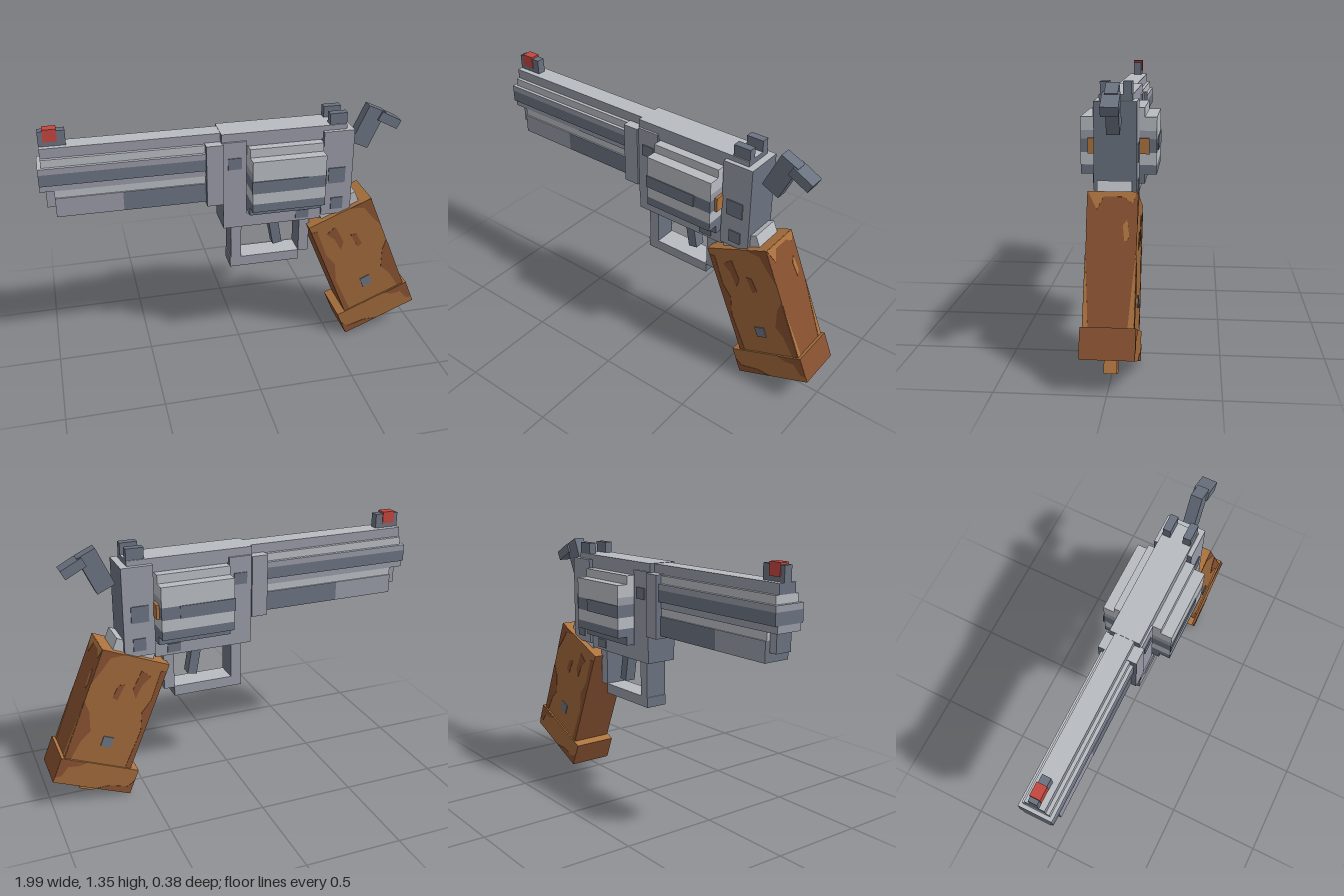
import * as THREE from 'three';

const mat = (name, color) => {
  const m = new THREE.MeshStandardMaterial({ color });
  m.name = name;
  return m;
};
const light = mat('light steel', 0xb8bcc2);
const mid = mat('mid steel', 0x9799a6);
const dark = mat('dark steel', 0x6a7280);
const red = mat('red', 0xc1463f);
const wood = mat('wood', 0x9e683a);
const woodDark = mat('dark wood', 0x865030);
const woodLight = mat('light wood', 0xad743f);

// face order: +x, -x, +y, -y, +z, -z
const steel = [dark, dark, light, dark, mid, mid];
const banded = (m) => [m, m, light, dark, m, m];
const woodFaces = [woodDark, woodDark, woodLight, woodDark, wood, wood];

export function createModel() {
  const model = new THREE.Group();
  model.name = 'revolver';

  // box from x and y ranges and a z range (one number means symmetric)
  function box(name, x0, x1, y0, y1, z, mats = steel, parent = model) {
    const [z0, z1] = Array.isArray(z) ? z : [-z, z];
    const mesh = new THREE.Mesh(new THREE.BoxGeometry(x1 - x0, y1 - y0, z1 - z0), mats);
    mesh.position.set((x0 + x1) / 2, (y0 + y1) / 2, (z0 + z1) / 2);
    mesh.name = name;
    parent.add(mesh);
    return mesh;
  }
  function tilted(name, cx, cy, w, h, z, degrees, mats = dark) {
    const mesh = box(name, cx - w / 2, cx + w / 2, cy - h / 2, cy + h / 2, z, mats);
    mesh.rotation.z = THREE.MathUtils.degToRad(degrees);
  }
  // thin plates on both sides of a part
  function sidePlates(name, x0, x1, y0, y1, z, m = dark, parent = model) {
    for (const s of [1, -1]) {
      const p = box(name, x0, x1, y0, y1, 0.003, m, parent);
      p.position.z = s * z;
    }
  }

  // barrel, stacked in bands
  box('barrelRib', -0.98, -0.1, 1.22, 1.27, 0.05);
  box('barrelTop', -0.98, -0.18, 1.18, 1.22, 0.068, banded(light));
  box('barrelUpperBand', -0.998, -0.18, 1.15, 1.18, 0.085, banded(mid));
  box('barrelSide', -0.998, -0.18, 1.09, 1.15, 0.085, banded(dark));
  box('barrelLowerBand', -0.998, -0.18, 1.055, 1.09, 0.07, banded(mid));
  box('underBarrelTop', -0.93, -0.18, 1.015, 1.055, 0.065, banded(light));
  box('underBarrelFront', -0.93, -0.6, 0.915, 1.015, 0.072, steel);
  box('underBarrelRear', -0.6, -0.18, 0.915, 1.015, 0.072, banded(dark));
  box('ejectorRodTip', -0.97, -0.93, 0.96, 1.055, 0.045);

  // sights
  box('frontSight', -0.98, -0.85, 1.27, 1.345, 0.022, dark);
  box('frontSightInsert', -0.957, -0.89, 1.292, 1.355, 0.026, red);
  for (const s of [1, -1]) {
    const z = s > 0 ? [0.033, 0.073] : [-0.073, -0.033];
    box('rearSight', 0.455, 0.545, 1.24, 1.33, z, dark);
  }

  // frame
  box('barrelCollar', -0.185, -0.1, 0.9, 1.225, 0.1);
  box('frameFront', -0.1, 0.02, 0.825, 1.23, 0.088);
  box('topStrap', -0.105, 0.545, 1.2, 1.272, 0.078);
  box('frameBottom', -0.1, 0.42, 0.755, 0.83, 0.085);
  box('frameCore', 0.02, 0.42, 0.83, 1.2, 0.05, light);
  box('frameRear', 0.42, 0.58, 0.78, 1.245, 0.1);
  sidePlates('framePlate', -0.075, -0.005, 1.085, 1.145, 0.09);
  sidePlates('framePlate', 0.45, 0.54, 0.96, 1.045, 0.102);
  sidePlates('framePlate', 0.47, 0.535, 0.81, 0.875, 0.102);
  sidePlates('framePlate', 0.285, 0.355, 0.77, 0.815, 0.087);

  // cylinder, stacked in bands
  box('cylinderTop', 0.03, 0.41, 1.155, 1.2, 0.125, banded(light));
  box('cylinderBottom', 0.03, 0.41, 0.835, 0.88, 0.125, banded(dark));
  [[0.88, 0.925, dark], [0.925, 0.985, light], [0.985, 1.05, dark], [1.05, 1.09, mid], [1.09, 1.155, light]]
    .forEach(([y0, y1, m]) =>
      box('cylinderBand', 0.03, 0.41, y0, y1, 0.183, [m, m, light, dark, m === mid ? light : m, m === mid ? light : m]));
  sidePlates('cylinderPanel', 0.025, 0.315, 0.985, 1.05, 0.185);
  box('cartridgeRims', 0.405, 0.425, 0.98, 1.055, 0.147, woodLight);

  // hammer
  tilted('hammer', 0.68, 1.222, 0.1, 0.21, 0.03, -25);
  tilted('hammerSpur', 0.79, 1.252, 0.12, 0.05, 0.04, -28);

  // trigger and guard
  tilted('trigger', 0.192, 0.68, 0.05, 0.16, 0.03, 10);
  box('guardFront', -0.055, 0.0, 0.555, 0.76, 0.06);
  box('guardBottom', -0.06, 0.315, 0.505, 0.56, 0.06);
  box('guardRear', 0.315, 0.37, 0.555, 0.76, 0.06);

  // grip, built upright and leaned back
  const grip = new THREE.Group();
  grip.name = 'grip';
  grip.position.set(0.64, 0.502, 0);
  grip.rotation.z = THREE.MathUtils.degToRad(22.5);
  model.add(grip);
  box('tang', -0.1, 0.12, 0.2, 0.365, 0.08, light, grip);
  box('gripBody', -0.182, 0.182, -0.304, 0.304, 0.113, woodFaces, grip);
  box('gripBase', -0.227, 0.2, -0.44, -0.3, 0.121, woodFaces, grip);
  box('gripNub', -0.064, 0.016, -0.5, -0.42, 0.03, woodLight, grip);
  sidePlates('gripPin', -0.034, 0.022, -0.2, -0.144, 0.115, dark, grip);

  // painted wood grain
  function stain(points, place, m) {
    const shape = new THREE.Shape(points.map(([x, y]) => new THREE.Vector2(x, y)));
    const mesh = new THREE.Mesh(new THREE.ExtrudeGeometry(shape, { depth: 0.002, bevelEnabled: false }), m);
    mesh.name = 'woodGrain';
    place(mesh);
    grip.add(mesh);
  }
  const sideStains = [
    [[-0.181, 0.27], [-0.15, 0.26], [-0.155, 0.1], [-0.13, 0.02], [-0.16, -0.08], [-0.15, -0.303], [-0.181, -0.303]],
    [[-0.11, 0.22], [-0.05, 0.24], [-0.04, 0.13], [-0.07, 0.09], [-0.08, 0.17]],
    [[0.01, 0.15], [0.04, 0.14], [0.05, 0.07], [0.02, 0.06]],
    [[0.06, 0.303], [0.181, 0.303], [0.181, 0.12], [0.15, 0.2], [0.13, 0.27]],
    [[0.181, 0.02], [0.14, -0.03], [0.1, -0.13], [0.13, -0.19], [0.15, -0.3], [0.181, -0.3]],
  ];
  const baseStains = [
    [[-0.226, -0.439], [-0.226, -0.36], [-0.2, -0.4], [-0.1, -0.41], [-0.03, -0.439]],
    [[0.199, -0.301], [0.06, -0.301], [0.1, -0.33], [0.15, -0.34], [0.17, -0.4], [0.199, -0.41]],
  ];
  for (const [list, z] of [[sideStains, 0.113], [baseStains, 0.121]])
    for (const points of list)
      for (const side of [z, -z - 0.002]) stain(points, (m) => (m.position.z = side), woodDark);
  // light grain on the back edge
  const backStains = [
    [[0.112, -0.3], [0.09, -0.3], [0.1, -0.15], [0.112, 0]],
    [[-0.112, -0.3], [-0.085, -0.3], [-0.1, -0.1], [-0.112, 0.02]],
    [[0.112, 0.303], [-0.112, 0.303], [-0.09, 0.25], [-0.05, 0.28], [0.04, 0.28], [0.07, 0.22]],
    [[-0.07, 0.18], [-0.05, 0.15], [-0.06, 0.07], [-0.08, 0.1]],
  ];
  for (const points of backStains)
    stain(points.map(([z, y]) => [-z, y]), (m) => {
      m.rotation.y = Math.PI / 2;
      m.position.x = 0.182;
    }, woodLight);

  return model;
}
